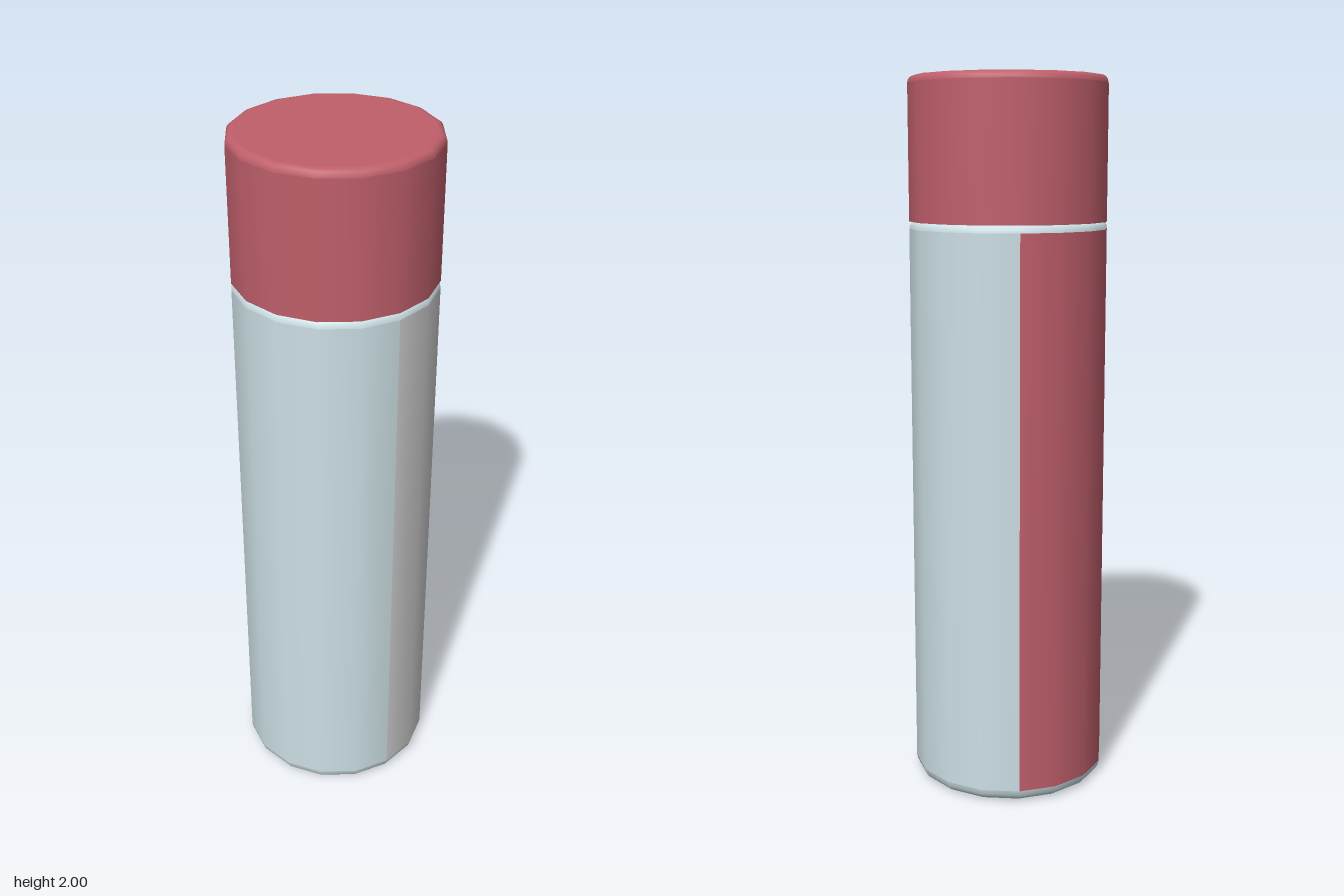
import * as THREE from 'three';

const SIDES = 16;
const STEP = (Math.PI * 2) / SIDES;
const START = 0.08; // turn of the first corner away from +z
const R = 0.276;

const material = (color) => new THREE.MeshStandardMaterial({ color, side: THREE.DoubleSide });

// Lathe a profile of [radius, y] pairs over a run of the 16 sides
function turned(name, mat, profile, first = 0, count = SIDES) {
  const points = profile.map(([r, y]) => new THREE.Vector2(r, y));
  const mesh = new THREE.Mesh(
    new THREE.LatheGeometry(points, count, START + first * STEP, count * STEP), mat);
  mesh.name = name;
  return mesh;
}

// Quarter-round edge: from angle a0 to a1 around the centre (cr, cy)
function round(cr, cy, radius, a0, a1, steps = 4) {
  return Array.from({ length: steps + 1 }, (_, i) => {
    const a = a0 + ((a1 - a0) * i) / steps;
    return [cr + radius * Math.cos(a), cy + radius * Math.sin(a)];
  });
}

export function createModel() {
  const model = new THREE.Group();
  model.name = 'cappedTube';
  const pale = material(0xccdfe4);
  const red = material(0xbf5f6b);
  const grey = material(0xcccccc);
  const Q = Math.PI / 2;

  // Body: base, rounded lower edge, wall in strips, rounded shoulder
  const low = 0.035, high = 1.59, b = 0.035, s = 0.022;
  const body = new THREE.Group();
  body.name = 'body';
  const wall = [[R, low], [R, high]];
  body.add(
    turned('base', pale, [[0, 0], [R - b, 0]]),
    turned('lowerEdge', pale, round(R - b, low, b, -Q, 0)),
    turned('greyStripe', grey, wall, 0, 2),
    turned('rightWall', pale, wall, 2, 5),
    turned('redPanel', red, wall, 7, 4),
    turned('leftWall', pale, wall, 11, 5),
    turned('shoulder', pale, round(R - s, high, s, 0, Q)),
    turned('shoulderTop', pale, [[R - s, high + s], [0, high + s]]),
  );

  // Cap: flat underside, straight wall, softened top edge
  const c = 0.02, capBottom = 1.61;
  const cap = new THREE.Group();
  cap.name = 'cap';
  cap.add(
    turned('capUnderside', red, [[R - 0.03, capBottom], [R, capBottom]]),
    turned('capWall', red, [[R, capBottom], [R, 2 - c]]),
    turned('capEdge', red, round(R - c, 2 - c, c, 0, Q)),
    turned('capTop', red, [[R - c, 2], [0, 2]]),
  );

  model.add(body, cap);
  return model;
}
